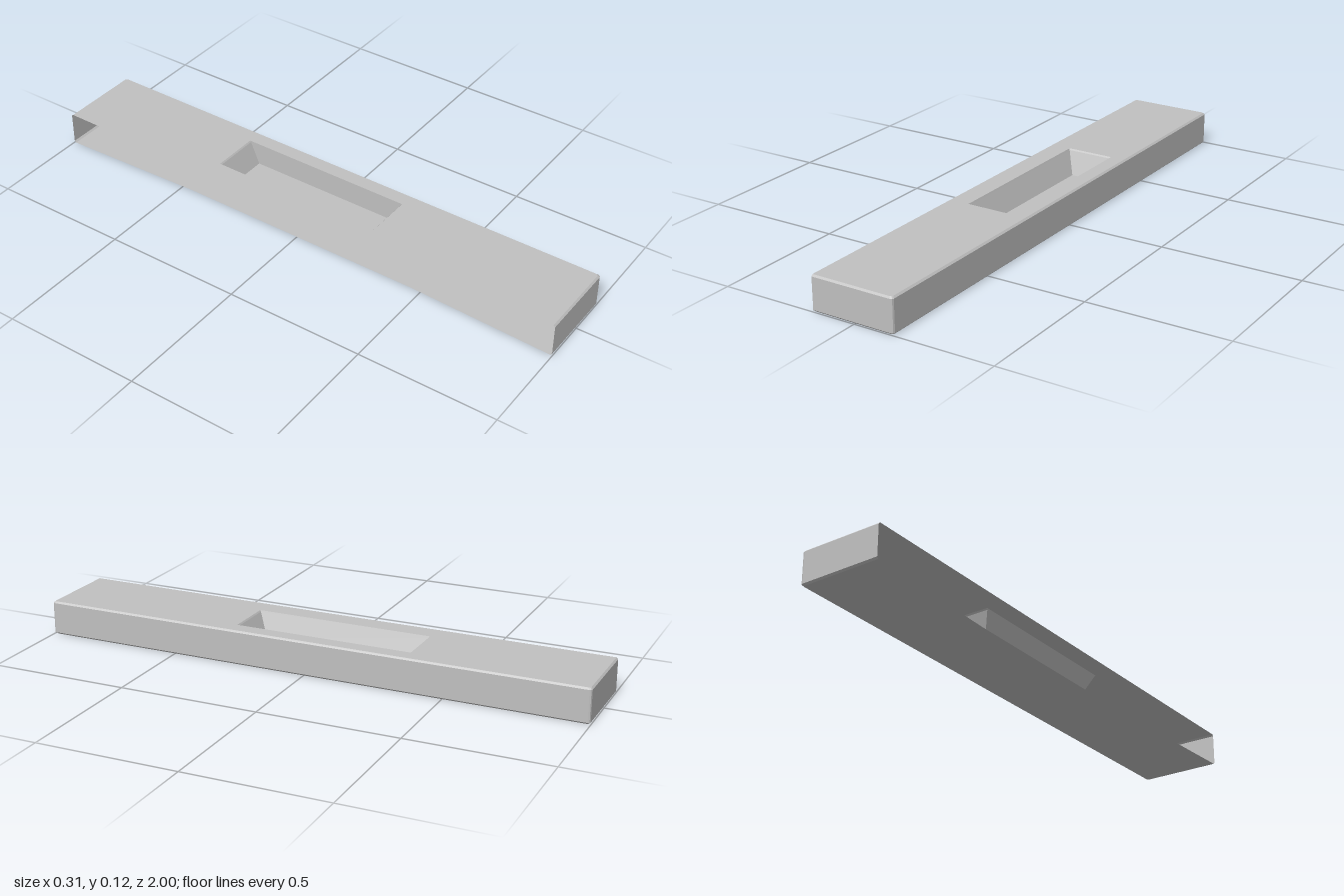
import * as THREE from 'three';

const H = 0.123, BEVEL = 0.006, OPEN_X = -0.152, SIDE_X = 0.151, END_Z = 0.999;

// Open U-shaped outline [x, z] with rounded corners; the -x side stays open
function outline(inset) {
  const x = SIDE_X - inset, z = END_Z - inset, r = 0.008, pts = [[OPEN_X, z]];
  for (const s of [1, -1]) {
    for (let i = 0; i <= 2; i++) {
      const a = (s > 0 ? 2 - i : i) * Math.PI / 4;
      pts.push([x - r + r * Math.cos(a), s * (z - r + r * Math.sin(a))]);
    }
  }
  pts.push([OPEN_X, -z]);
  return pts;
}

// Rectangle [x, z] corners in the same turning order as the outline
const rect = (x0, x1, z0, z1) => [[x0, z1], [x1, z1], [x1, z0], [x0, z0]];

// Flat horizontal sheet at height y, facing up or down
function sheet(pts, y, up, hole) {
  const s = up ? -1 : 1;
  const vec = (p) => new THREE.Vector2(p[0], s * p[1]);
  const shape = new THREE.Shape(pts.map(vec));
  if (hole) shape.holes.push(new THREE.Path(hole.map(vec)));
  return new THREE.ShapeGeometry(shape).rotateX(s * Math.PI / 2).translate(0, y, 0);
}

// Band of faces joining rings listed from low to high, as { y, pts }
function band(rings, closed) {
  const pos = [];
  for (let k = 0; k + 1 < rings.length; k++) {
    const lo = rings[k], hi = rings[k + 1], n = lo.pts.length;
    for (let i = 0; i < (closed ? n : n - 1); i++) {
      const j = (i + 1) % n;
      const at = (ring, m) => [ring.pts[m][0], ring.y, ring.pts[m][1]];
      const a = at(lo, i), b = at(lo, j), c = at(hi, j), d = at(hi, i);
      pos.push(...a, ...b, ...c, ...a, ...c, ...d);
    }
  }
  const g = new THREE.BufferGeometry();
  g.setAttribute('position', new THREE.Float32BufferAttribute(pos, 3));
  g.computeVertexNormals();
  return g;
}

export function createModel() {
  const group = new THREE.Group();
  group.name = 'recessedBar';
  const grey = new THREE.MeshStandardMaterial({ color: 0xc0c0c0, side: THREE.DoubleSide, flatShading: true });
  grey.name = 'plain grey';
  const add = (name, geometry) => {
    const mesh = new THREE.Mesh(geometry, grey);
    mesh.name = name;
    group.add(mesh);
  };

  // Outer shell: bevelled end walls and side wall
  const inner = outline(BEVEL), outer = outline(0);
  add('outerWalls', band([
    { y: 0, pts: inner }, { y: BEVEL, pts: outer },
    { y: H - BEVEL, pts: outer }, { y: H, pts: inner },
  ], false));

  // Underside, with its open edge drawn in slightly along the middle
  add('underside', sheet([...inner, [OPEN_X + 0.02, -0.46], [OPEN_X + 0.02, 0.46]], 0, false));

  // Top with a recess that slopes on three sides and is upright on the fourth
  const mouth = rect(-0.08, 0.093, -0.368, 0.278);
  const lip = rect(-0.078, 0.093, -0.364, 0.274);
  const floor = rect(-0.045, 0.093, -0.33, 0.235);
  const floorY = H - 0.085;
  add('top', sheet(inner, H, true, mouth));
  // Rings run high to low so the recess walls face inward
  add('recessWalls', band([{ y: H, pts: mouth }, { y: H - 0.005, pts: lip }, { y: floorY, pts: floor }], true));
  add('recessFloor', sheet(floor, floorY, true));

  // The bar sits very slightly turned
  group.rotation.y = -0.005;
  return group;
}
